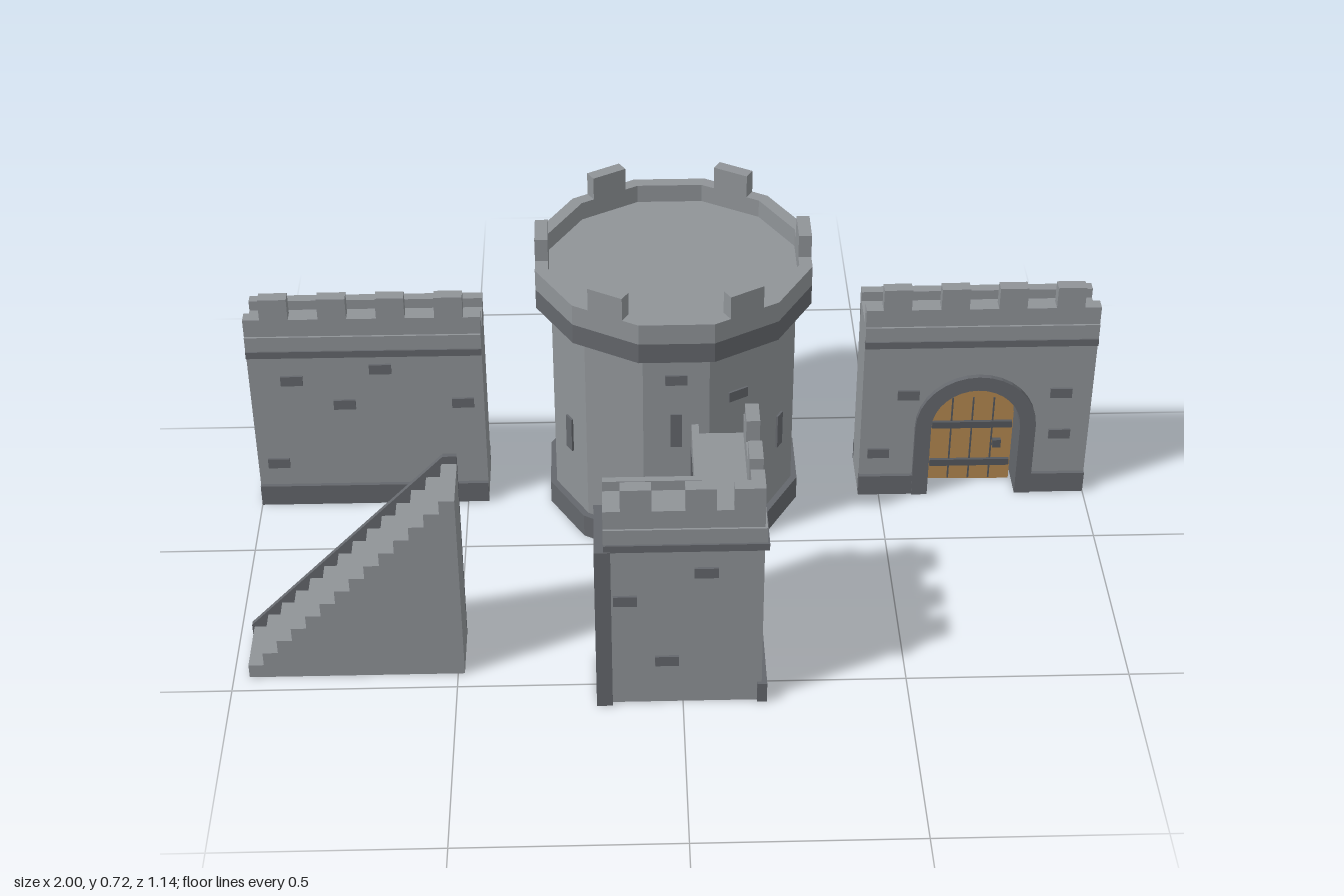
import * as THREE from 'three';

const mat = (name, color) => Object.assign(new THREE.MeshStandardMaterial({ color }), { name });

export function createModel() {
  const stone = mat('light stone', 0x8f9397);
  const dark = mat('dark stone', 0x64676c);
  const wood = mat('door wood', 0xb3874f);
  const iron = mat('iron', 0x55585d);
  const model = new THREE.Group();
  const group = (name) => {
    const g = new THREE.Group();
    g.name = name;
    model.add(g);
    return g;
  };
  const add = (parent, name, geo, material) => {
    const m = new THREE.Mesh(geo, material);
    m.name = name;
    parent.add(m);
    return m;
  };
  // Box given by its lower and upper limits on each axis
  const box = (parent, name, material, x0, x1, y0, y1, z0, z1) => {
    const m = add(parent, name, new THREE.BoxGeometry(x1 - x0, y1 - y0, z1 - z0), material);
    m.position.set((x0 + x1) / 2, (y0 + y1) / 2, (z0 + z1) / 2);
    return m;
  };
  const extrude = (parent, name, material, shape, z0, z1, curveSegments = 8) => {
    const geo = new THREE.ExtrudeGeometry(shape, { depth: z1 - z0, bevelEnabled: false, curveSegments });
    geo.translate(0, 0, z0);
    return add(parent, name, geo, material);
  };
  const frontBricks = (parent, z, list) => list.forEach(([x, y]) =>
    box(parent, 'brick', dark, x - 0.026, x + 0.026, y - 0.013, y + 0.013, z - 0.01, z + 0.006));

  // ---- Round tower with twelve flat sides ----
  const tower = group('tower');
  tower.position.z = -0.253;
  const corner = Math.cos(Math.PI / 12);
  const prism = (name, material, apothem, y0, y1) => {
    const r = apothem / corner;
    const geo = new THREE.CylinderGeometry(r, r, y1 - y0, 12).toNonIndexed();
    geo.computeVertexNormals();
    geo.rotateY(Math.PI / 12);
    geo.translate(0, (y0 + y1) / 2, 0);
    add(tower, name, geo, material);
  };
  prism('towerBase', dark, 0.298, 0, 0.06);
  prism('towerBody', stone, 0.283, 0.06, 0.566);
  prism('towerCornice', dark, 0.318, 0.566, 0.616);
  prism('towerFloor', stone, 0.29, 0.616, 0.622);
  const polygon = (apothem) => Array.from({ length: 12 }, (_, i) => {
    const a = (i + 0.5) * Math.PI / 6;
    return new THREE.Vector2(Math.cos(a), Math.sin(a)).multiplyScalar(apothem / corner);
  });
  const rim = new THREE.Shape(polygon(0.318));
  rim.holes.push(new THREE.Path(polygon(0.288)));
  extrude(tower, 'towerParapet', stone, rim, 0.616, 0.667).rotation.x = -Math.PI / 2;
  // Boxes set on a tower side; angle runs from +x toward +z
  const onSide = (name, material, degrees, dist, y, w, h, d, shift = 0) => {
    const a = degrees * Math.PI / 180;
    const m = add(tower, name, new THREE.BoxGeometry(w, h, d), material);
    m.rotation.y = Math.PI / 2 - a;
    m.position.set(Math.cos(a) * dist + Math.sin(a) * shift, y, Math.sin(a) * dist - Math.cos(a) * shift);
  };
  for (let i = 0; i < 6; i++) onSide('towerMerlon', stone, i * 60, 0.303, 0.695, 0.088, 0.058, 0.03);
  [[30, 0.25], [150, 0.25], [90, 0.355], [-30, 0.39], [210, 0.31]].forEach(([a, y]) =>
    onSide('arrowSlit', dark, a, 0.282, y, 0.026, 0.09, 0.012));
  [[60, 0.427], [90, 0.495], [-60, 0.463], [240, 0.5], [240, 0.1]].forEach(([a, y]) =>
    onSide('towerBrick', dark, a, 0.282, y, 0.05, 0.026, 0.012));

  // ---- Straight walls ----
  const back = -0.322, front = -0.187;
  const wallTop = (g, cx) => {
    const x0 = cx - 0.275, x1 = cx + 0.275;
    box(g, 'frontBand', dark, x0, x1, 0.428, 0.446, front - 0.01, front + 0.009);
    box(g, 'frontLedge', stone, x0, x1, 0.446, 0.484, front - 0.01, front + 0.005);
    box(g, 'parapet', stone, x0, x1, 0.48, 0.53, front - 0.03, front);
    box(g, 'backCurb', stone, x0, x1, 0.446, 0.505, back - 0.009, back + 0.016);
    box(g, 'backBand', dark, x0, x1, 0.434, 0.446, back - 0.007, back + 0.01);
    for (let i = -1.5; i < 2; i++) {
      const x = cx + i * 0.135;
      box(g, 'merlon', stone, x - 0.033, x + 0.033, 0.53, 0.585, front - 0.03, front);
    }
  };
  const wallBase = (g, x0, x1) => {
    box(g, 'frontBase', dark, x0, x1, 0, 0.055, front - 0.01, front + 0.01);
    box(g, 'backBase', dark, x0, x1, 0, 0.055, back - 0.01, back + 0.01);
  };

  const wall = group('plainWall');
  box(wall, 'wallBody', stone, -1, -0.45, 0, 0.48, back, front);
  wallTop(wall, -0.725);
  wallBase(wall, -1, -0.45);
  frontBricks(wall, front, [[-0.9, 0.36], [-0.69, 0.39], [-0.78, 0.29], [-0.95, 0.12], [-0.5, 0.29]]);

  // ---- Gate wall ----
  const gate = group('gateWall');
  const gx = 0.725, spring = 0.2;
  // Adds an upright, round-topped outline, left foot to right foot
  const archLine = (path, r) => {
    path.lineTo(gx - r, 0);
    path.lineTo(gx - r, spring);
    path.absarc(gx, spring, r, Math.PI, 0, true);
    path.lineTo(gx + r, 0);
    return path;
  };
  const gateShape = new THREE.Shape();
  gateShape.moveTo(0.45, 0);
  archLine(gateShape, 0.13);
  gateShape.lineTo(1, 0).lineTo(1, 0.48).lineTo(0.45, 0.48);
  extrude(gate, 'gateBody', stone, gateShape, back, front);
  wallTop(gate, gx);
  wallBase(gate, 0.45, gx - 0.14);
  wallBase(gate, gx + 0.14, 1);
  frontBricks(gate, front, [[0.495, 0.12], [0.925, 0.29], [0.93, 0.17], [0.56, 0.29]]);

  const frame = new THREE.Shape();
  frame.moveTo(gx - 0.145, 0);
  archLine(frame, 0.145);
  frame.lineTo(gx + 0.107, 0).lineTo(gx + 0.107, spring);
  frame.absarc(gx, spring, 0.107, 0, Math.PI, false);
  frame.lineTo(gx - 0.107, 0);
  extrude(gate, 'archFrame', dark, frame, back - 0.013, front + 0.013);

  // Wooden door with plank grooves, hinge bars and a handle
  const door = new THREE.Shape();
  door.moveTo(gx - 0.1, 0.003);
  archLine(door, 0.1);
  const dz = -0.235;
  extrude(gate, 'door', wood, door, dz - 0.03, dz);
  [-0.05, 0, 0.05].forEach((x) =>
    box(gate, 'plankGroove', iron, gx + x - 0.002, gx + x + 0.002, 0.005, 0.245, dz - 0.002, dz + 0.002));
  [0.055, 0.168].forEach((y) =>
    box(gate, 'hingeBar', iron, gx - 0.097, gx + 0.097, y - 0.009, y + 0.009, dz - 0.002, dz + 0.008));
  box(gate, 'doorHandle', iron, 0.778, 0.798, 0.102, 0.124, dz - 0.002, dz + 0.012);

  // ---- Corner wall, L-shaped from above ----
  const cw = group('cornerWall');
  const X = 0.173, Z = 0.56;
  box(cw, 'frontLeg', stone, -0.17, X, 0, 0.48, 0.413, Z);
  box(cw, 'sideLeg', stone, 0.035, X, 0, 0.48, 0.217, 0.413);
  box(cw, 'frontEndPlate', dark, -0.19, -0.155, 0, 0.43, 0.405, 0.572);
  box(cw, 'sideEndPlate', dark, 0.027, 0.185, 0, 0.43, 0.2, 0.236);
  box(cw, 'sideBase', dark, X - 0.01, 0.185, 0, 0.052, 0.236, 0.568);
  box(cw, 'frontBand', dark, -0.17, X + 0.01, 0.428, 0.446, Z - 0.02, Z + 0.01);
  box(cw, 'sideBand', dark, X - 0.02, X + 0.01, 0.428, 0.446, 0.217, Z + 0.01);
  box(cw, 'frontLedge', stone, -0.17, X + 0.005, 0.446, 0.484, Z - 0.02, Z + 0.005);
  box(cw, 'sideLedge', stone, X - 0.02, X + 0.005, 0.446, 0.484, 0.217, Z + 0.005);
  box(cw, 'frontParapet', stone, -0.17, X, 0.48, 0.53, Z - 0.03, Z);
  box(cw, 'sideParapet', stone, X - 0.03, X, 0.48, 0.53, 0.217, Z - 0.03);
  box(cw, 'frontCurb', stone, -0.17, 0.044, 0.446, 0.505, 0.406, 0.422);
  box(cw, 'sideCurb', stone, 0.028, 0.044, 0.446, 0.505, 0.217, 0.406);
  [0, 0.103, 0.24].forEach((s) => {
    box(cw, 'frontMerlon', stone, X - s - 0.066, X - s, 0.53, 0.585, Z - 0.03, Z);
    box(cw, 'sideMerlon', stone, X - 0.03, X, 0.53, 0.585, Z - s - 0.066, Z - s);
  });
  frontBricks(cw, Z, [[0.05, 0.365], [-0.125, 0.29], [-0.035, 0.12]]);
  [[0.44, 0.375], [0.268, 0.305], [0.353, 0.135]].forEach(([z, y]) =>
    box(cw, 'sideBrick', dark, X - 0.01, X + 0.006, y - 0.014, y + 0.014, z - 0.026, z + 0.026));

  // ---- Staircase rising toward +x ----
  const stairs = group('stairs');
  const n = 14, sx = -0.965, run = 0.48 / n, rise = 0.485 / n;
  const steps = new THREE.Shape();
  steps.moveTo(sx, 0);
  for (let i = 0; i < n; i++) {
    steps.lineTo(sx + i * run, (i + 1) * rise);
    steps.lineTo(sx + (i + 1) * run, (i + 1) * rise);
  }
  steps.lineTo(sx + n * run, 0);
  extrude(stairs, 'steps', stone, steps, 0.322, 0.455);
  const side = new THREE.Shape([[-0.97, 0], [-0.485, 0], [-0.485, 0.505], [-0.515, 0.505], [-0.97, 0.04]]
    .map(([x, y]) => new THREE.Vector2(x, y)));
  extrude(stairs, 'stringer', dark, side, 0.31, 0.322);

  return model;
}
